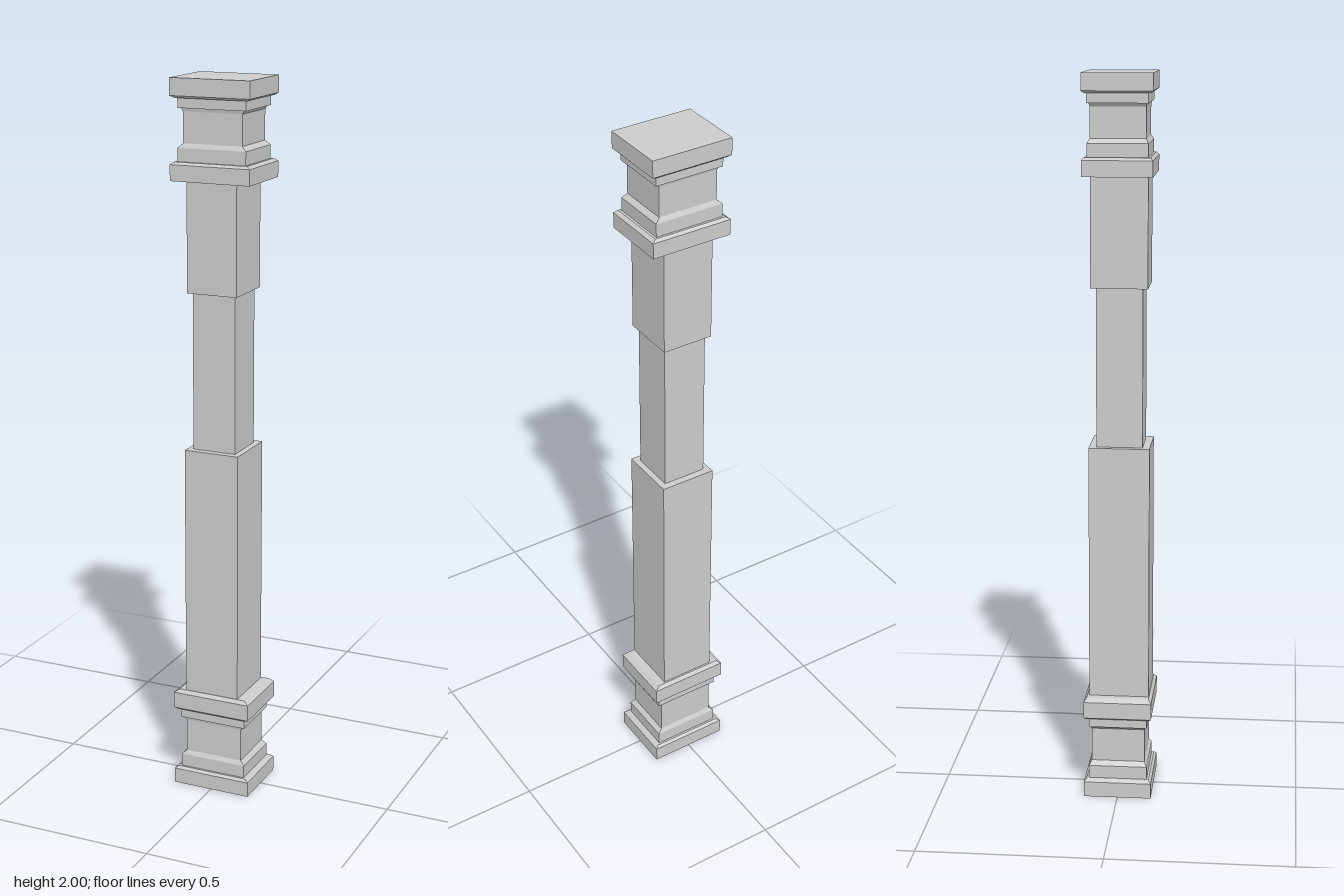
import * as THREE from 'three';

const material = new THREE.MeshStandardMaterial({ color: 0xcccccc, flatShading: true });

// Box from y0 to y1 with half widths [x, z] at the bottom and at the top
function block(name, y0, y1, bottom, top = bottom, cx = 0, cz = 0) {
  const geo = new THREE.BoxGeometry(2, 1, 2);
  const p = geo.attributes.position;
  for (let i = 0; i < p.count; i++) {
    const up = p.getY(i) > 0;
    const [hx, hz] = up ? top : bottom;
    p.setXYZ(i, cx + p.getX(i) * hx, up ? y1 : y0, cz + p.getZ(i) * hz);
  }
  geo.computeVertexNormals();
  const mesh = new THREE.Mesh(geo, material);
  mesh.name = name;
  return mesh;
}

// Moulded block with a plate at each end; used for both base and capital
function mouldedBlock(name, y, h) {
  const plate = [0.114, 0.094], rim = [0.104, 0.087];
  const lip = [0.097, 0.081], core = [0.084, 0.074];
  const group = new THREE.Group();
  group.name = name;
  group.add(
    block('bottomPlate', 0, 0.043, plate),
    block('bottomPlateBevel', 0.043, 0.05, plate, rim),
    block('lowerLip', 0.05, 0.086, lip),
    block('lowerLipBevel', 0.086, 0.098, lip, core),
    block('core', 0.098, h - 0.08, core),
    block('upperLipBevel', h - 0.087, h - 0.078, core, [0.091, 0.076]),
    block('upperLip', h - 0.078, h - 0.052, lip),
    block('topPlateBevel', h - 0.052, h - 0.046, rim, plate),
    block('topPlate', h - 0.046, h, plate),
  );
  group.position.y = y;
  return group;
}

export function createModel() {
  const model = new THREE.Group();
  model.name = 'post';

  model.add(mouldedBlock('base', 0, 0.28));
  model.add(block('baseCollar', 0.28, 0.29, [0.114, 0.094], [0.1, 0.086]));

  // Stepped shaft
  model.add(block('lowerShaft', 0.28, 1.0, [0.079, 0.083], undefined, -0.001, 0.002));
  model.add(block('middleShaft', 1.0, 1.435, [0.062, 0.063], undefined, -0.001, 0.002));
  model.add(block('upperShaft', 1.435, 1.74, [0.072, 0.077], undefined, -0.001, 0.002));

  model.add(mouldedBlock('capital', 1.733, 0.267));
  return model;
}
